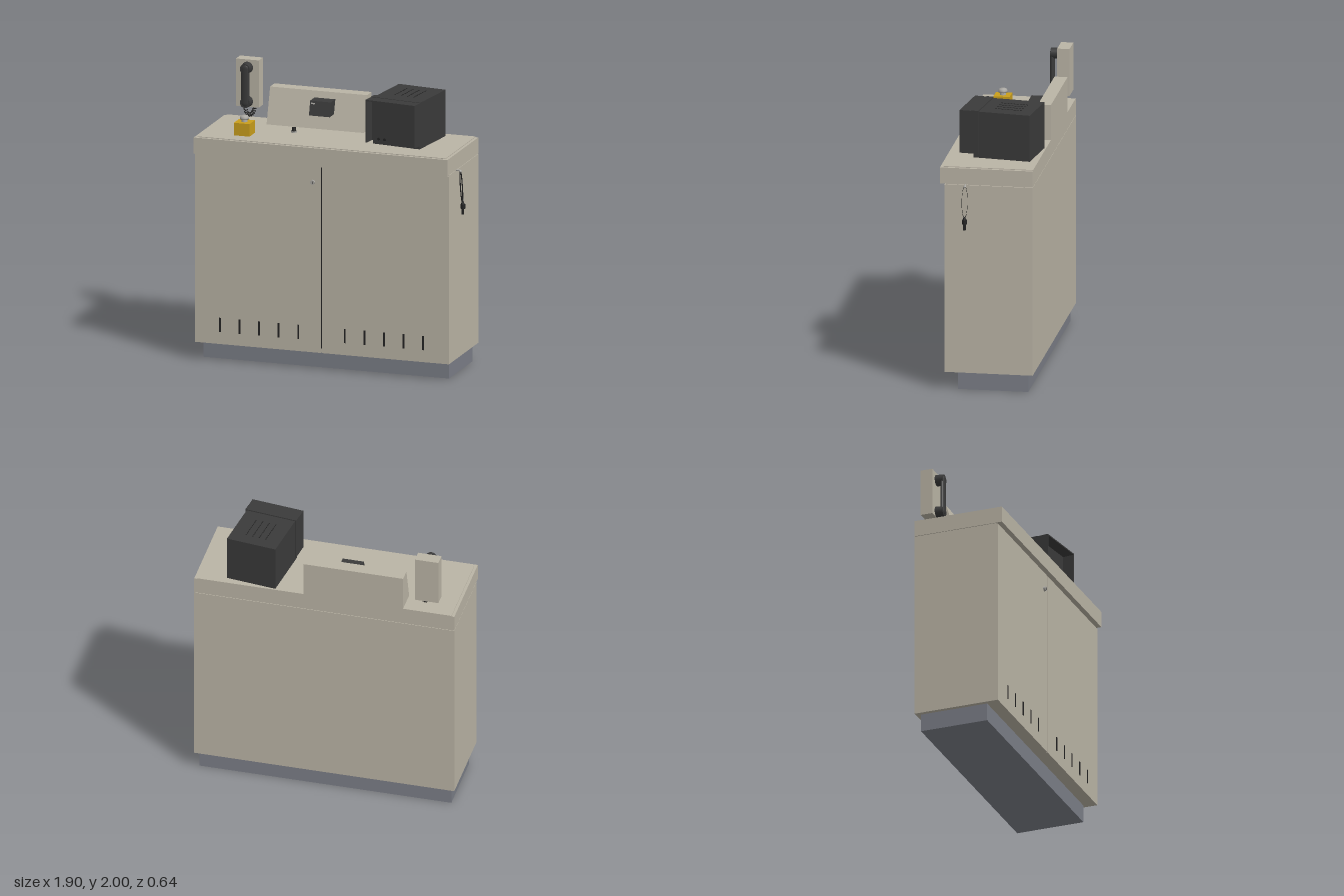
import * as THREE from 'three';

const mat = (name, color, side = THREE.FrontSide) => {
  const m = new THREE.MeshStandardMaterial({ color, side });
  m.name = name;
  return m;
};

export function createModel() {
  const beige = mat('beige paint', 0xbab4a5);
  const grey = mat('plinth grey', 0x7b7e87);
  const dark = mat('dark plastic', 0x3a3a3a);
  const black = mat('black', 0x222222);
  const yellow = mat('yellow', 0xc99e1c);
  const metal = mat('metal', 0xa9a7a2);

  const root = new THREE.Group();
  root.name = 'controlDesk';
  const add = (name, geo, material, x = 0, y = 0, z = 0, parent = root) => {
    const m = new THREE.Mesh(geo, material);
    m.name = name;
    m.position.set(x, y, z);
    parent.add(m);
    return m;
  };
  // Box given by its limits on each axis
  const box = (name, material, x0, x1, y0, y1, z0, z1, parent = root) =>
    add(name, new THREE.BoxGeometry(x1 - x0, y1 - y0, z1 - z0), material,
      (x0 + x1) / 2, (y0 + y1) / 2, (z0 + z1) / 2, parent);
  const cyl = (name, material, rTop, rBottom, h, x, y, z, parent = root) =>
    add(name, new THREE.CylinderGeometry(rTop, rBottom, h, 24), material, x, y, z, parent);
  // Profile of [z, y] points carried along x
  const prism = (name, material, points, x0, x1) => {
    const shape = new THREE.Shape(points.map(([z, y]) => new THREE.Vector2(-z, y)));
    const geo = new THREE.ExtrudeGeometry(shape, { depth: x1 - x0, bevelEnabled: false });
    geo.rotateY(Math.PI / 2);
    return add(name, geo, material, x0, 0, 0);
  };
  const group = (name, parent = root) => {
    const g = new THREE.Group();
    g.name = name;
    parent.add(g);
    return g;
  };

  // Cabinet
  box('plinth', grey, -0.92, 0.85, 0, 0.125, -0.285, 0.2);
  box('cabinetBody', beige, -0.95, 0.88, 0.125, 1.455, -0.32, 0.28);
  box('rightDoor', beige, -0.95, -0.044, 0.125, 1.45, 0.28, 0.29);
  box('leftDoor', beige, -0.036, 0.88, 0.125, 1.45, 0.28, 0.29);
  box('doorGap', black, -0.044, -0.036, 0.155, 1.43, 0.28, 0.284);
  box('counter', beige, -0.95, 0.88, 1.458, 1.572, -0.32, 0.32);
  box('counterTop', beige, -0.93, 0.86, 1.572, 1.577, -0.32, 0.3);
  for (const start of [-0.77, 0.13])
    for (let i = 0; i < 5; i++) {
      const x = start + i * 0.141;
      box('ventSlot', black, x - 0.006, x + 0.006, 0.21, 0.31, 0.287, 0.294);
    }
  cyl('doorLock', metal, 0.016, 0.016, 0.016, -0.1, 1.325, 0.298).rotation.x = Math.PI / 2;
  box('keyhole', black, -0.102, -0.098, 1.317, 1.333, 0.303, 0.308);

  // Sloped console with its display unit and knob
  prism('console', beige,
    [[-0.32, 1.575], [-0.155, 1.575], [-0.23, 1.825], [-0.32, 1.825]], -0.59, 0.11);
  prism('displayUnit', dark,
    [[-0.19, 1.682], [-0.1, 1.682], [-0.125, 1.78], [-0.22, 1.78]], -0.265, -0.115);
  const label = box('displayLabel', metal, -0.255, -0.23, 1.758, 1.768, -0.123, -0.117);
  label.rotation.x = -0.25;
  cyl('knobBase', metal, 0.019, 0.019, 0.012, -0.345, 1.581, -0.02);
  cyl('knob', black, 0.013, 0.016, 0.026, -0.345, 1.598, -0.02);

  // Push button on a yellow box
  box('buttonBox', yellow, -0.705, -0.592, 1.575, 1.665, 0.08, 0.192);
  cyl('buttonStem', metal, 0.02, 0.022, 0.02, -0.648, 1.674, 0.135);
  const cap = [[0, 0], [0.03, 0], [0.031, 0.012], [0.024, 0.025], [0, 0.029]];
  add('buttonCap', new THREE.LatheGeometry(cap.map(p => new THREE.Vector2(...p)), 24),
    metal, -0.648, 1.682, 0.135);

  // Telephone
  const phone = group('telephone');
  box('phoneBody', beige, -0.838, -0.673, 1.667, 2, -0.32, -0.235, phone);
  const grip = new THREE.CapsuleGeometry(0.032, 0.24, 6, 16);
  grip.scale(1, 1, 0.5);
  add('handsetGrip', grip, dark, -0.755, 1.828, -0.189, phone);
  for (const y of [1.945, 1.707]) {
    const cup = cyl('handsetCup', dark, 0.036, 0.04, 0.056, -0.755, y, -0.207, phone);
    cup.rotation.x = Math.PI / 2;
  }
  const path = new THREE.CatmullRomCurve3([
    new THREE.Vector3(-0.76, 1.68, -0.2), new THREE.Vector3(-0.75, 1.63, -0.21),
    new THREE.Vector3(-0.735, 1.614, -0.23), new THREE.Vector3(-0.718, 1.63, -0.25),
    new THREE.Vector3(-0.71, 1.67, -0.26)]);
  const turns = 11, coil = [];
  const across = new THREE.Vector3(0.6, 0, 0.8);
  for (let i = 0; i <= turns * 10; i++) {
    const t = i / (turns * 10), a = t * turns * Math.PI * 2;
    const side = new THREE.Vector3().crossVectors(path.getTangent(t), across).normalize();
    coil.push(path.getPoint(t).addScaledVector(side, 0.012 * Math.cos(a))
      .addScaledVector(across, 0.012 * Math.sin(a)));
  }
  add('coiledCord', new THREE.TubeGeometry(new THREE.CatmullRomCurve3(coil), 260, 0.0035, 6),
    black, 0, 0, 0, phone);

  // Turned monitor with an open-bottomed hood
  const mon = group('monitor');
  mon.position.set(0.457, 0, -0.04);
  mon.rotation.y = -0.125;
  box('monitorCase', dark, -0.177, 0.177, 1.575, 1.903, -0.248, 0.15, mon);
  box('monitorCollar', dark, -0.186, 0.186, 1.605, 1.91, 0.115, 0.165, mon);
  box('hoodTop', dark, -0.186, 0.186, 1.898, 1.907, 0.165, 0.247, mon);
  for (const s of [-1, 1])
    box('hoodSide', dark, s * 0.182 - 0.004, s * 0.182 + 0.004, 1.605, 1.907, 0.165, 0.247, mon);
  box('screen', dark, -0.15, 0.15, 1.65, 1.88, 0.165, 0.169, mon);
  for (const x of [-0.125, -0.08]) {
    const b = cyl('monitorButton', black, 0.009, 0.009, 0.012, x, 1.62, 0.168, mon);
    b.rotation.x = Math.PI / 2;
  }
  // Top vents, in four broken rows
  for (let r = 0; r < 4; r++)
    for (let i = 0; i < 9; i++) {
      const x = -0.072 + r * 0.048, z = -0.155 + i * 0.022;
      box('topVent', black, x - 0.003, x + 0.003, 1.902, 1.905, z - 0.007, z + 0.007, mon);
    }

  // Key hanging from a pin on the side
  const keys = group('hangingKey');
  cyl('keyPin', metal, 0.005, 0.005, 0.035, 0.895, 1.458, 0.143, keys).rotation.z = Math.PI / 2;
  add('pinHead', new THREE.SphereGeometry(0.01, 12, 8), metal, 0.912, 1.452, 0.143, keys);
  const ring = new THREE.TorusGeometry(0.11, 0.0045, 6, 40);
  ring.scale(0.18, 1, 1);
  ring.rotateY(Math.PI / 2);
  add('keyLoop', ring, black, 0.919, 1.345, 0.143, keys).rotation.z = 0.07;
  cyl('keyCollar', black, 0.008, 0.012, 0.02, 0.928, 1.228, 0.143, keys);
  cyl('keyHead', black, 0.017, 0.017, 0.03, 0.93, 1.207, 0.143, keys);
  box('keyBlade', black, 0.924, 0.936, 1.15, 1.195, 0.134, 0.152, keys);

  return root;
}
